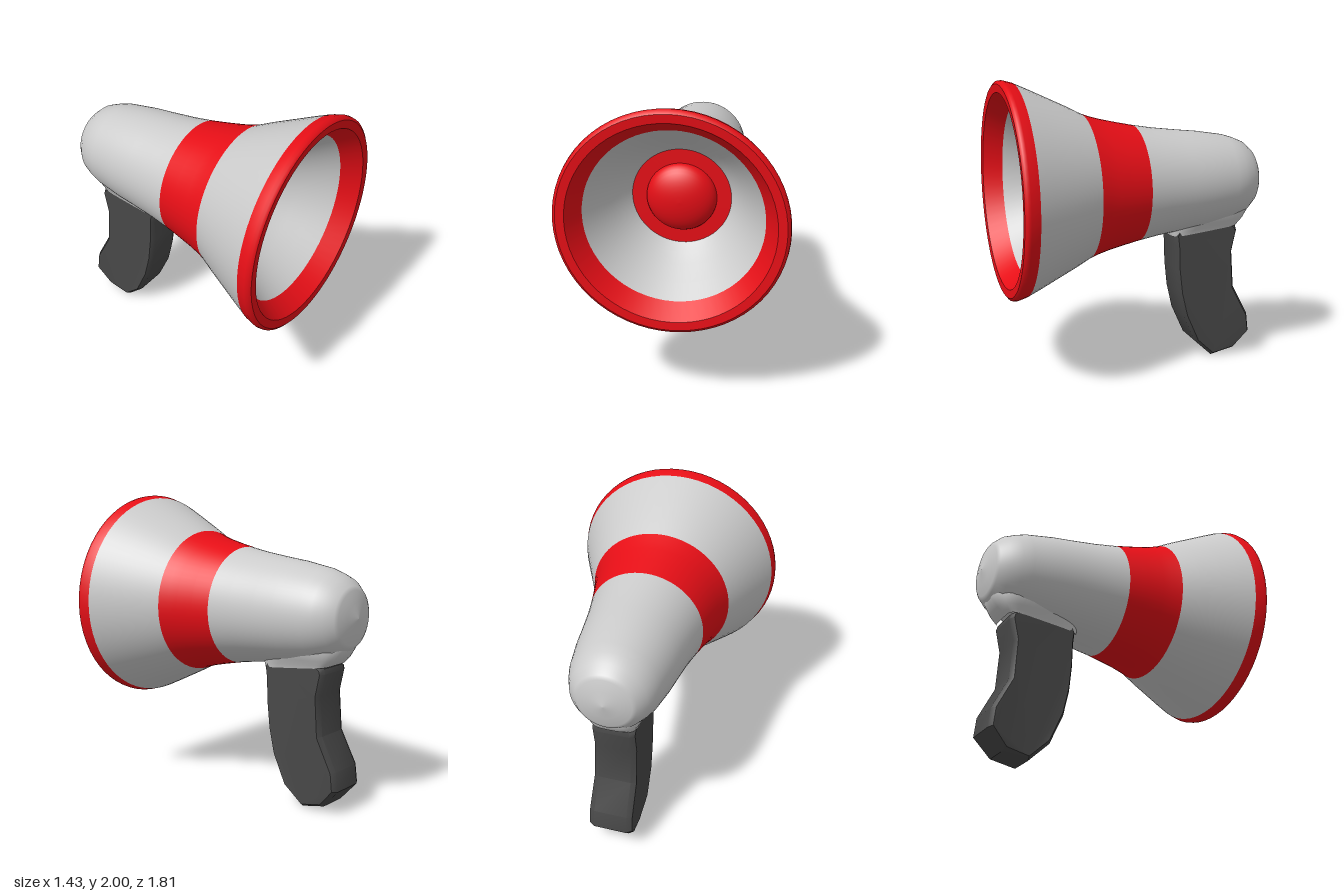
import * as THREE from 'three';
import { toCreasedNormals } from 'three/addons/utils/BufferGeometryUtils.js';

const AXIS_Y = 1.283;
const grey = new THREE.MeshStandardMaterial({ color: 0xcccccc });
const red = new THREE.MeshStandardMaterial({ color: 0xe60e16 });
const dark = new THREE.MeshStandardMaterial({ color: 0x484848 });

function addMesh(parent, name, geometry, material) {
  const mesh = new THREE.Mesh(geometry, material);
  mesh.name = name;
  parent.add(mesh);
}

// Surface of revolution about the horn axis, from [radius, z] pairs
function turned(parent, name, points, material) {
  const geo = new THREE.LatheGeometry(points.map(([r, z]) => new THREE.Vector2(r, z)), 64);
  geo.rotateX(Math.PI / 2);
  geo.translate(0, AXIS_Y, 0);
  addMesh(parent, name, geo, material);
}

// Pistol grip: bevelled side outline, narrowed towards the butt
function gripGeometry() {
  const outline = [
    [-0.265, 0.92], [-0.275, 0.84], [-0.28, 0.68], [-0.3, 0.5], [-0.34, 0.33],
    [-0.43, 0.13], [-0.565, 0.003], [-0.735, 0.04], [-0.847, 0.165], [-0.832, 0.295],
    [-0.72, 0.51], [-0.702, 0.77], [-0.735, 0.92], [-0.725, 0.955], [-0.66, 1.0], [-0.3, 1.0],
  ];
  const shape = new THREE.Shape(outline.map(([z, y]) => new THREE.Vector2(z, y)));
  const geo = new THREE.ExtrudeGeometry(shape, {
    depth: 0.22, bevelThickness: 0.035, bevelSize: 0.02, bevelOffset: -0.02, bevelSegments: 1,
  });
  geo.translate(0, 0, -0.11);
  geo.rotateY(-Math.PI / 2);
  const p = geo.attributes.position;
  for (let i = 0; i < p.count; i++) {
    const y = p.getY(i);
    const s = y < 0.17 ? 0.84 + 1.1 * y : 1.03 - 0.1 * Math.min(y - 0.17, 0.5);
    p.setX(i, p.getX(i) * s);
  }
  return toCreasedNormals(geo, 0.6);
}

// Flared neck blending the grip into the body, lofted from rounded rings
function neckGeometry() {
  // [height, half width, front z, back z, slope, roundness exponent]
  const rings = [
    [0.935, 0.147, -0.25, -0.74, 0.11, 0.35],
    [0.96, 0.155, -0.235, -0.765, 0.08, 0.45],
    [1.0, 0.175, -0.225, -0.80, 0.04, 0.6],
    [1.08, 0.212, -0.225, -0.848, 0, 0.8],
    [1.2, 0.21, -0.25, -0.862, 0, 1],
  ];
  const n = 48, pos = [], index = [];
  const power = (v, e) => Math.sign(v) * Math.pow(Math.abs(v), e);
  rings.forEach(([y, hx, front, back, slope, e], k) => {
    for (let i = 0; i < n; i++) {
      const a = (i / n) * Math.PI * 2;
      const z = (front + back) / 2 + ((front - back) / 2) * power(Math.cos(a), e);
      pos.push(hx * power(Math.sin(a), e), y - slope * (z + 0.48), z);
      if (k === 0) continue;
      const j = (i + 1) % n, lo = (k - 1) * n, hi = k * n;
      index.push(lo + i, lo + j, hi + j, lo + i, hi + j, hi + i);
    }
  });
  const geo = new THREE.BufferGeometry();
  geo.setAttribute('position', new THREE.Float32BufferAttribute(pos, 3));
  geo.setIndex(index);
  geo.computeVertexNormals();
  return geo;
}

export function createModel() {
  const model = new THREE.Group();
  model.name = 'megaphone';

  // Outer shell, tail to mouth
  const horn = new THREE.Group();
  horn.name = 'horn';
  model.add(horn);
  turned(horn, 'rearBody', [
    [0, -0.907], [0.1, -0.888], [0.175, -0.87], [0.2, -0.855], [0.25, -0.8], [0.28, -0.73],
    [0.302, -0.66], [0.333, -0.47], [0.348, -0.33], [0.37, -0.15], [0.395, 0],
  ], grey);
  turned(horn, 'stripe', [[0.395, 0], [0.42, 0.12], [0.445, 0.23], [0.465, 0.3], [0.486, 0.36]], red);
  turned(horn, 'bell', [[0.486, 0.36], [0.542, 0.47], [0.603, 0.6], [0.655, 0.71], [0.7, 0.81]], grey);

  // Rim and its inward bevel
  turned(horn, 'rimOuter', [[0.7, 0.81], [0.717, 0.87], [0.714, 0.893], [0.695, 0.907]], red);
  turned(horn, 'rimFront', [[0.695, 0.907], [0.64, 0.903]], red);
  turned(horn, 'rimInner', [[0.64, 0.903], [0.56, 0.78]], red);

  // Inside of the bell
  turned(horn, 'bellInside', [[0.56, 0.78], [0.49, 0.67], [0.42, 0.56], [0.365, 0.48], [0.318, 0.42]], grey);
  turned(horn, 'speakerPlate', [[0.318, 0.42], [0.225, 0.42]], red);
  const dome = [];
  for (let i = 0; i <= 10; i++) {
    const a = (i / 10) * Math.PI / 2;
    dome.push([0.225 * Math.cos(a), 0.42 + 0.11 * Math.sin(a)]);
  }
  turned(horn, 'speakerDome', dome, red);

  // Grip and neck
  addMesh(model, 'gripNeck', neckGeometry(), grey);
  addMesh(model, 'grip', gripGeometry(), dark);
  return model;
}
